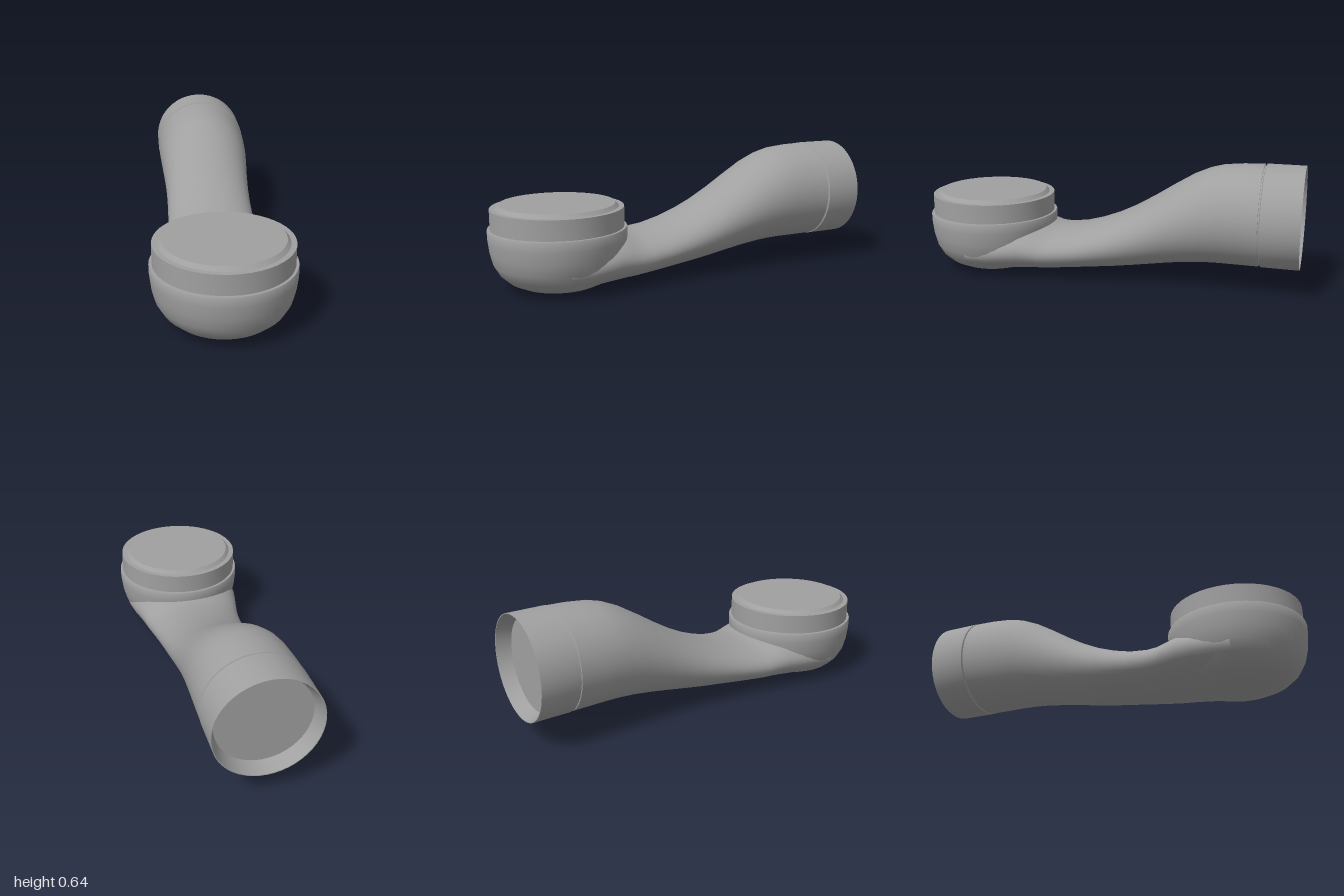
import * as THREE from 'three';
import { toCreasedNormals } from 'three/addons/utils/BufferGeometryUtils.js';

const SEGMENTS = 48;

// Lathe with sharp edges kept where the profile turns strongly
function lathe(points) {
  const profile = points.map(([r, y]) => new THREE.Vector2(r, y));
  return toCreasedNormals(new THREE.LatheGeometry(profile, SEGMENTS), 0.6);
}

// Lofted pipe: each station is [z, top, bottom, halfWidth]
function loft(stations) {
  const positions = [];
  const index = [];
  stations.forEach(([z, top, bottom, half]) => {
    const cy = (top + bottom) / 2;
    const hh = (top - bottom) / 2;
    for (let j = 0; j < SEGMENTS; j++) {
      const a = (j / SEGMENTS) * Math.PI * 2;
      positions.push(half * Math.cos(a), cy + hh * Math.sin(a), z);
    }
  });
  for (let i = 0; i < stations.length - 1; i++) {
    for (let j = 0; j < SEGMENTS; j++) {
      const k = (j + 1) % SEGMENTS;
      const a = i * SEGMENTS + j, b = i * SEGMENTS + k;
      const c = a + SEGMENTS, d = b + SEGMENTS;
      index.push(a, c, b, b, c, d);
    }
  }
  const geometry = new THREE.BufferGeometry();
  geometry.setAttribute('position', new THREE.Float32BufferAttribute(positions, 3));
  geometry.setIndex(index);
  geometry.computeVertexNormals();
  return geometry;
}

export function createModel() {
  const group = new THREE.Group();
  const grey = new THREE.MeshStandardMaterial({ color: 0xa0a0a0 });
  grey.name = 'grey';

  const add = (name, geometry) => {
    const mesh = new THREE.Mesh(geometry, grey);
    mesh.name = name;
    group.add(mesh);
    return mesh;
  };

  // Rounded bowl with a narrow shoulder
  const cup = add('cup', lathe([
    [0, 0], [0.14, 0.005], [0.2, 0.018], [0.25, 0.042], [0.292, 0.08],
    [0.32, 0.13], [0.335, 0.19], [0.342, 0.25], [0.343, 0.298],
    [0.34, 0.303], [0.328, 0.303],
  ]));

  // Upright ring with a chamfered, closed top
  const cap = add('cap', lathe([
    [0.328, 0.3], [0.328, 0.402], [0.302, 0.402], [0.285, 0.42], [0, 0.42],
  ]));
  cup.position.z = cap.position.z = 0.657;

  // Curved pipe rising from the cup to the rear
  add('neck', loft([
    [0.7, 0.25, 0.001, 0.315], [0.6, 0.26, 0.002, 0.315],
    [0.5, 0.275, 0.008, 0.305], [0.42, 0.28, 0.013, 0.288],
    [0.36, 0.265, 0.018, 0.275], [0.31, 0.25, 0.021, 0.265],
    [0.25, 0.248, 0.026, 0.254], [0.15, 0.262, 0.035, 0.241],
    [0.05, 0.291, 0.045, 0.234], [-0.05, 0.33, 0.055, 0.23],
    [-0.15, 0.38, 0.068, 0.228], [-0.25, 0.44, 0.083, 0.229],
    [-0.35, 0.505, 0.098, 0.234], [-0.45, 0.566, 0.11, 0.242],
    [-0.53, 0.602, 0.116, 0.248], [-0.6, 0.621, 0.118, 0.252],
    [-0.7, 0.631, 0.118, 0.256], [-0.8, 0.634, 0.118, 0.258],
  ]));

  // Rear collar: groove, outer wall, tapered mouth and recessed end plate
  const collar = add('collar', lathe([
    [0.258, 0.797], [0.25, 0.8], [0.25, 0.806], [0.26, 0.81],
    [0.26, 1], [0.256, 1], [0.23, 0.93], [0, 0.93],
  ]));
  collar.rotation.x = -Math.PI / 2;
  collar.position.y = 0.376;

  return group;
}
